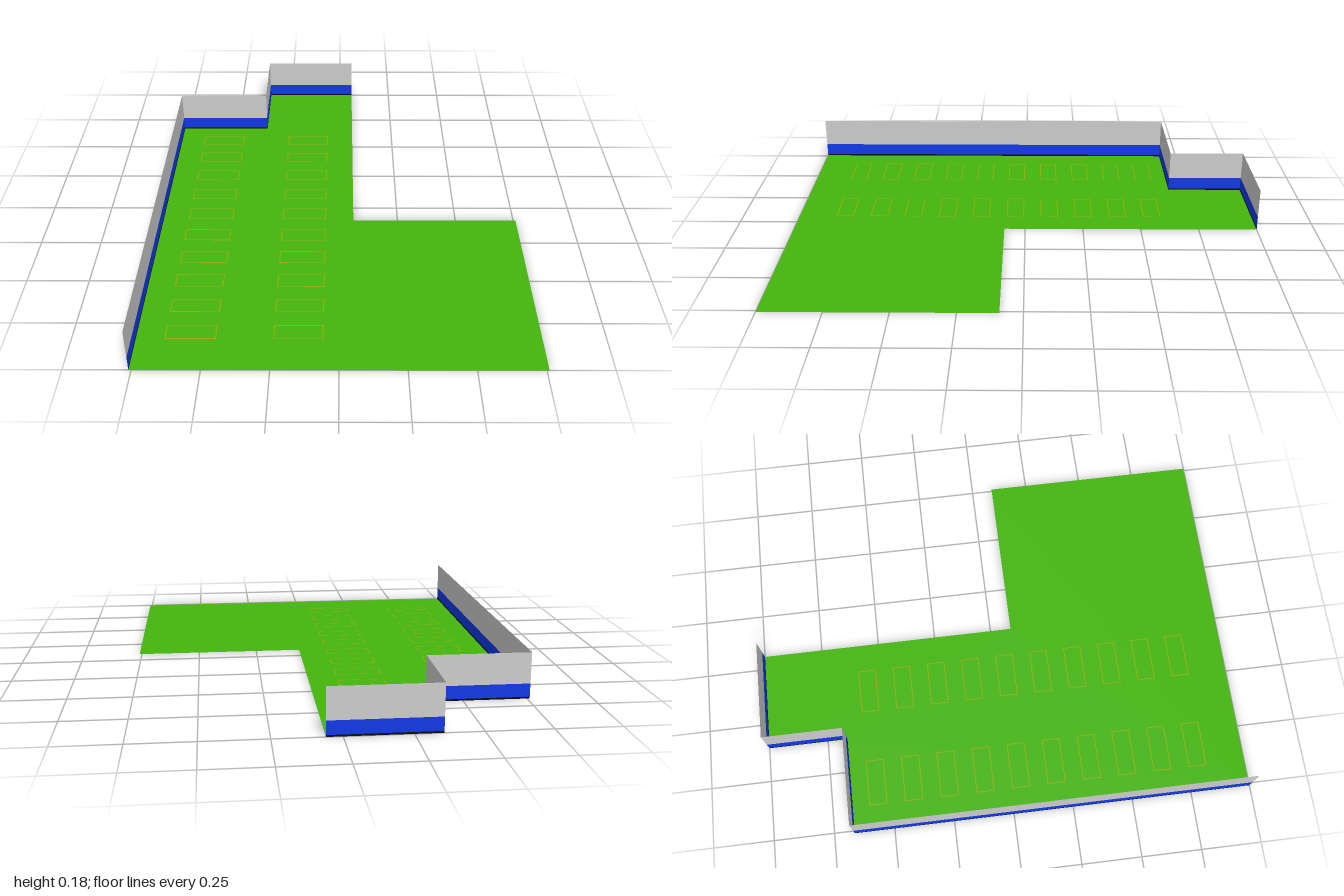
import * as THREE from 'three';

const paint = (color) => new THREE.MeshStandardMaterial({ color, side: THREE.DoubleSide });

// Flat shape drawn in (x, z), laid on the ground with its face up
function flat(shape, material, name, y) {
  const mesh = new THREE.Mesh(new THREE.ShapeGeometry(shape), material);
  mesh.rotation.x = -Math.PI / 2;
  mesh.position.y = y;
  mesh.name = name;
  return mesh;
}

const outline = (points) => points.map(([x, z]) => new THREE.Vector2(x, -z));
const rect = (x0, z0, x1, z1) => outline([[x0, z1], [x1, z1], [x1, z0], [x0, z0]]);

export function createModel() {
  const model = new THREE.Group();
  const green = paint(0x44b50d);
  const yellow = paint(0x96aa0c);

  // Stepped floor slab
  const floor = new THREE.Shape(outline([
    [-0.76, 1], [0.76, 1], [0.76, 0.09], [0.06, 0.09],
    [0.06, -1], [-0.355, -1], [-0.355, -0.667], [-0.76, -0.667],
  ]));
  model.add(flat(floor, green, 'floor', 0));

  // Two rows of ten thin rectangular floor markings
  const markings = new THREE.Group();
  markings.name = 'floorMarkings';
  const line = 0.004;
  for (const [x0, x1] of [[-0.653, -0.46], [-0.246, -0.058]]) {
    for (let i = 0; i < 10; i++) {
      const z0 = -0.598 + i * 0.151;
      const z1 = z0 + 0.077;
      const frame = new THREE.Shape(rect(x0, z0, x1, z1));
      frame.holes.push(new THREE.Path(rect(x0 + line, z0 + line, x1 - line, z1 - line)));
      markings.add(flat(frame, yellow, 'marking', 0.001));
    }
  }
  model.add(markings);

  // Thin walls in three bands: black skirting, blue dado, grey upper wall
  const corners = [[-0.76, 1], [-0.76, -0.667], [-0.355, -0.667], [-0.355, -1], [0.06, -1]];
  const bands = [
    ['skirting', 0, 0.007, paint(0x080808)],
    ['blueBand', 0.007, 0.06, paint(0x1038e6)],
    ['upperWall', 0.06, 0.184, paint(0xcccccc)],
  ];
  for (let i = 0; i < corners.length - 1; i++) {
    const [ax, az] = corners[i];
    const [bx, bz] = corners[i + 1];
    const wall = new THREE.Group();
    wall.name = 'wall';
    wall.position.set((ax + bx) / 2, 0, (az + bz) / 2);
    wall.rotation.y = Math.atan2(az - bz, bx - ax);
    for (const [name, y0, y1, material] of bands) {
      const length = Math.hypot(bx - ax, bz - az);
      const band = new THREE.Mesh(new THREE.PlaneGeometry(length, y1 - y0), material);
      band.position.y = (y0 + y1) / 2;
      band.name = name;
      wall.add(band);
    }
    model.add(wall);
  }

  return model;
}
